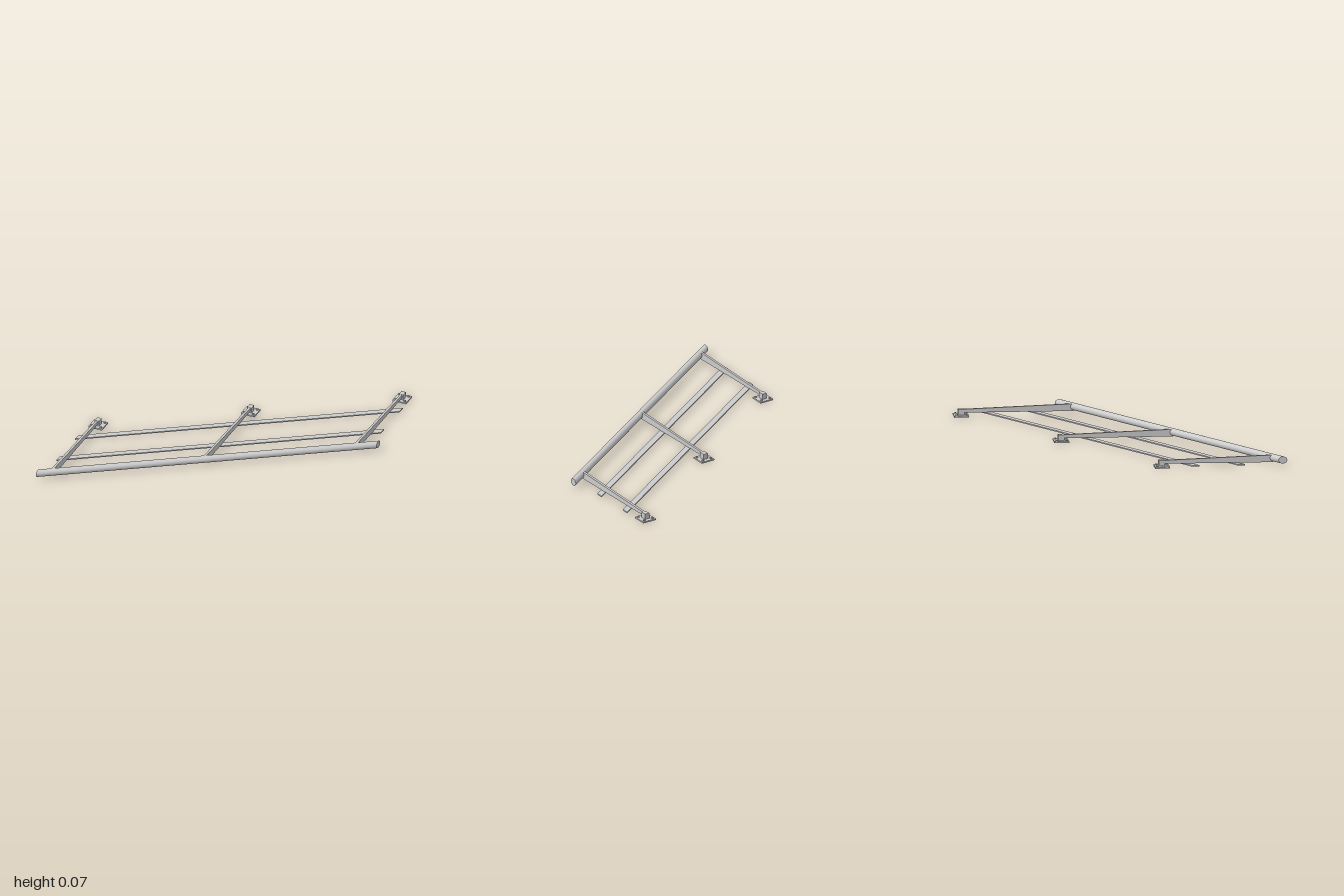
import * as THREE from 'three';

const SLOPE = 0.665; // z falls by this much per unit of x
const mat = new THREE.MeshStandardMaterial({ color: 0xcccccc });

function add(parent, name, geo, x, y, z) {
  const mesh = new THREE.Mesh(geo, mat);
  mesh.name = name;
  mesh.position.set(x, y, z);
  parent.add(mesh);
  return mesh;
}

// Slants a geometry that runs along x, keeping its ends square to x
function slant(geo) {
  geo.applyMatrix4(new THREE.Matrix4().set(1, 0, 0, 0, 0, 1, 0, 0, -SLOPE, 0, 1, 0, 0, 0, 0, 1));
  return geo;
}

// Upright: deep at the handrail (+z end), shallow at the foot
function postGeometry(length) {
  const geo = new THREE.BoxGeometry(0.016, 1, length);
  const p = geo.attributes.position;
  for (let i = 0; i < p.count; i++) {
    const atRail = p.getZ(i) > 0;
    const top = p.getY(i) > 0;
    p.setY(i, top ? (atRail ? 0.064 : 0.046) : (atRail ? 0.016 : 0.024));
  }
  geo.computeVertexNormals();
  return geo;
}

// Square base plate with four bolt holes, lying flat
function plateGeometry() {
  const h = 0.049;
  const shape = new THREE.Shape([[-h, -h], [h, -h], [h, h], [-h, h]].map(([x, y]) => new THREE.Vector2(x, y)));
  for (const sx of [-1, 1]) for (const sy of [-1, 1]) {
    shape.holes.push(new THREE.Path().absarc(sx * 0.033, sy * 0.033, 0.008, 0, Math.PI * 2, true));
  }
  const geo = new THREE.ExtrudeGeometry(shape, { depth: 0.01, bevelEnabled: false, curveSegments: 8 });
  return geo.rotateX(-Math.PI / 2);
}

export function createModel() {
  const model = new THREE.Group();
  model.name = 'stairRailing';

  // Round handrail
  const rail = new THREE.CylinderGeometry(0.024, 0.024, 1.89, 32);
  rail.rotateZ(Math.PI / 2).scale(1, 1, Math.hypot(1, SLOPE));
  add(model, 'handrail', slant(rail), 0, 0.044, 0.343);

  // Two flat bars passing under the posts
  for (const [name, z] of [['lowerBar', -0.2], ['upperBar', 0.1]]) {
    add(model, name, slant(new THREE.BoxGeometry(1.8, 0.008, 0.05)), -0.02, 0.014, z);
  }

  // Posts, each with its foot block, base plate and bolts
  for (const [x, footZ] of [[-0.865, 0.178], [-0.02, -0.388], [0.82, -0.95]]) {
    const post = new THREE.Group();
    post.name = 'postAssembly';
    post.position.set(x, 0, footZ);
    model.add(post);
    const length = 0.343 - SLOPE * x - 0.005 - footZ;
    add(post, 'post', postGeometry(length), 0, 0, length / 2);
    add(post, 'footBlock', new THREE.BoxGeometry(0.032, 0.04, 0.042), 0, 0.028, 0);
    add(post, 'basePlate', plateGeometry(), 0, 0, 0);
    for (const sx of [-1, 1]) for (const sz of [-1, 1]) {
      add(post, 'bolt', new THREE.CylinderGeometry(0.008, 0.008, 0.015, 12), sx * 0.033, 0.0095, sz * 0.033);
    }
  }
  return model;
}
